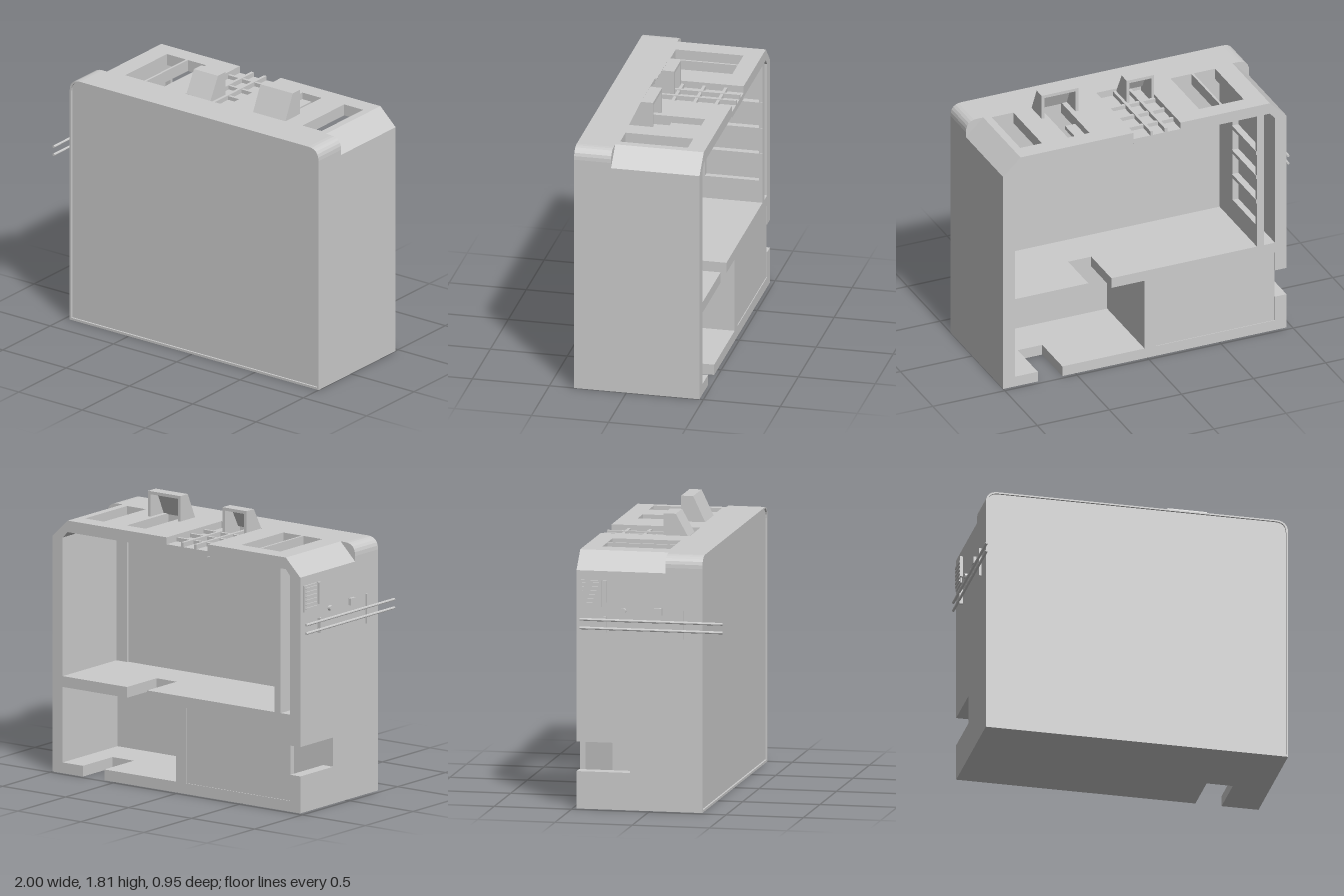
import * as THREE from 'three';

const material = new THREE.MeshStandardMaterial({ color: 0xcccccc, flatShading: true, side: THREE.DoubleSide });

export function createModel() {
  const model = new THREE.Group();
  const add = (name, geometry) => {
    const mesh = new THREE.Mesh(geometry, material);
    mesh.name = name;
    model.add(mesh);
    return mesh;
  };
  // Box given by its limits on each axis
  const box = (name, x0, x1, y0, y1, z0, z1) =>
    add(name, new THREE.BoxGeometry(x1 - x0, y1 - y0, z1 - z0)
      .translate((x0 + x1) / 2, (y0 + y1) / 2, (z0 + z1) / 2));
  const polygon = (points) => new THREE.Shape(points.map(([x, y]) => new THREE.Vector2(x, y)));
  const rectangle = (x0, x1, y0, y1) => polygon([[x0, y0], [x1, y0], [x1, y1], [x0, y1]]);
  const extrude = (shape, depth) =>
    new THREE.ExtrudeGeometry(shape, { depth, bevelEnabled: false, curveSegments: 6 });
  // Horizontal slab drawn in x and z, hanging below its top
  const slab = (name, shape, top, thickness) =>
    add(name, extrude(shape, thickness).rotateX(Math.PI / 2).translate(0, top, 0));
  // Outline with rounded upper corners
  const facadeOutline = (x0, x1, y0, y1, r) => {
    const s = new THREE.Shape();
    s.moveTo(x0, y0).lineTo(x1, y0).lineTo(x1, y1 - r);
    s.quadraticCurveTo(x1, y1, x1 - r, y1).lineTo(x0 + r, y1);
    s.quadraticCurveTo(x0, y1, x0, y1 - r).lineTo(x0, y0);
    return s;
  };

  const L = 1, R = -0.965, BACK = -0.475, MID = 0.1, FRONT = 0.34, TOP = 1.645;

  // Front block: rim around a slightly recessed panel
  const rim = facadeOutline(R, L, 0, TOP, 0.08);
  rim.holes.push(facadeOutline(R + 0.012, L - 0.012, 0.015, TOP - 0.01, 0.07));
  add('facadeRim', extrude(rim, FRONT - MID).translate(0, 0, MID));
  add('facadePanel', extrude(facadeOutline(R + 0.012, L - 0.012, 0.015, TOP - 0.01, 0.07), 0.228)
    .translate(0, 0, MID));

  // Side walls; the right one has a notch open to the back
  box('leftWall', 0.92, L, 0, 1.53, BACK, MID);
  box('leftPilaster', 0.835, 0.92, 0.63, 1.57, MID - 0.012, MID);
  box('rightWallLower', R, -0.885, 0, 0.24, BACK, MID);
  box('rightWallMiddle', R, -0.885, 0.24, 0.43, -0.13, MID);
  box('rightWallUpper', R, -0.885, 0.43, 1.53, BACK, MID);

  // Floors, each with a slot cut in from the back edge
  const slottedFloor = (name, top, s0, s1) => slab(name, polygon([
    [-0.885, BACK], [s0, BACK], [s0, -0.165], [s1, -0.165], [s1, BACK],
    [0.92, BACK], [0.92, MID], [-0.885, MID]]), top, 0.07);
  slottedFloor('groundFloor', 0.07, 0.59, 0.76);
  slottedFloor('upperFloor', 0.63, 0.25, 0.41);

  // Ground floor storage room
  box('storageSideWall', -0.06, 0.02, 0.07, 0.56, BACK, MID);
  box('storageBackWall', -0.885, -0.06, 0.07, 0.56, BACK + 0.005, BACK + 0.04);

  // Upper floor partition with stacked display shelves
  box('partitionPost', -0.8, -0.76, 0.63, 1.59, -0.1, MID);
  box('partitionEdge', -0.8, -0.76, 0.63, 1.59, BACK, BACK + 0.025);
  box('shelfBack', -0.81, -0.8, 0.63, 1.59, BACK, -0.1);
  box('partitionBase', -0.8, -0.76, 0.63, 0.78, BACK, -0.1);
  box('partitionHead', -0.8, -0.76, 1.48, 1.59, BACK, -0.1);
  for (let i = 1; i < 4; i++) {
    const y = 0.78 + i * 0.175;
    box('displayShelf', -0.8, -0.755, y - 0.012, y + 0.012, BACK, -0.1);
  }

  // Roof plates with skylight openings
  const roofPlate = (name, x0, x1, openings) => {
    const shape = rectangle(x0, x1, BACK, MID);
    for (const [a, b] of openings) shape.holes.push(rectangle(a, b, -0.36, 0.08));
    slab(name, shape, TOP, 0.075);
  };
  roofPlate('leftRoof', 0.095, 0.88, [[0.35, 0.5], [0.68, 0.83]]);
  roofPlate('rightRoof', -0.85, -0.23, [[-0.72, -0.57], [-0.555, -0.41]]);
  box('skylightLid', 0.35, 0.42, 1.575, 1.6, -0.36, -0.14);

  // Sloping roof edges
  const edge = (name, inner, outer, wall) =>
    add(name, extrude(polygon([[inner, TOP], [outer, 1.53], [wall, 1.53], [inner, 1.57]]), MID - BACK)
      .translate(0, 0, BACK));
  edge('leftRoofSlope', 0.88, L, 0.92);
  edge('rightRoofSlope', -0.85, R, -0.885);

  // Sunken centre of the roof with a grid of ribs
  box('sunkenRoof', -0.23, 0.095, 1.56, 1.6, BACK, MID);
  for (const x of [-0.13, -0.03]) box('roofRib', x - 0.01, x + 0.01, 1.6, 1.63, BACK, MID);
  for (const z of [-0.36, -0.22, -0.08]) box('roofRib', -0.23, 0.095, 1.6, 1.625, z - 0.01, z + 0.01);

  // Roof hoods: sloping front, open at the back
  const hood = (x0, x1, height) => {
    const t = 0.02, back = -0.068;
    const side = [[MID - 0.01, 1.64], [0.01, height], [back, height], [back, 1.6], [MID - 0.01, 1.6]];
    const skin = [[MID - 0.01, 1.64], [0.01, height], [back, height], [back, height - t],
      [0, height - t], [MID - 0.03, 1.64]];
    // Profiles are drawn in z and y, then turned to run along x
    const along = (name, points, from, to) => add(name, extrude(polygon(points), to - from)
      .rotateY(-Math.PI / 2).scale(1, 1, 1).translate(to, 0, 0));
    along('hoodCover', skin, x0, x1);
    along('hoodSide', side, x0, x0 + t);
    along('hoodSide', side, x1 - t, x1);
  };
  hood(-0.23, -0.04, 1.785);
  hood(0.295, 0.55, 1.81);

  // Rods and fittings on the right wall
  for (const y of [1.165, 1.22]) {
    add('wallRod', new THREE.CylinderGeometry(0.009, 0.009, 0.925, 8)
      .rotateX(Math.PI / 2).translate(-0.99, y, 0.0145));
  }
  box('ventPanel', -0.975, R, 1.3, 1.47, -0.445, -0.31);
  for (let i = 0; i < 6; i++) {
    const y = 1.32 + i * 0.026;
    box('ventSlat', -0.983, -0.975, y - 0.006, y + 0.006, -0.435, -0.32);
  }
  box('ventBar', -0.985, R, 1.33, 1.47, -0.3, -0.28);
  box('rodBracket', -0.99, R, 1.14, 1.24, -0.295, -0.28);
  add('roundFitting', new THREE.CylinderGeometry(0.018, 0.018, 0.02, 12)
    .rotateZ(Math.PI / 2).translate(-0.975, 1.28, -0.17));
  box('meterBox', -0.985, R, 1.26, 1.305, 0.03, 0.08);
  box('verticalPipe', -0.98, R, 1.11, 1.3, 0.207, 0.22);

  return model;
}
